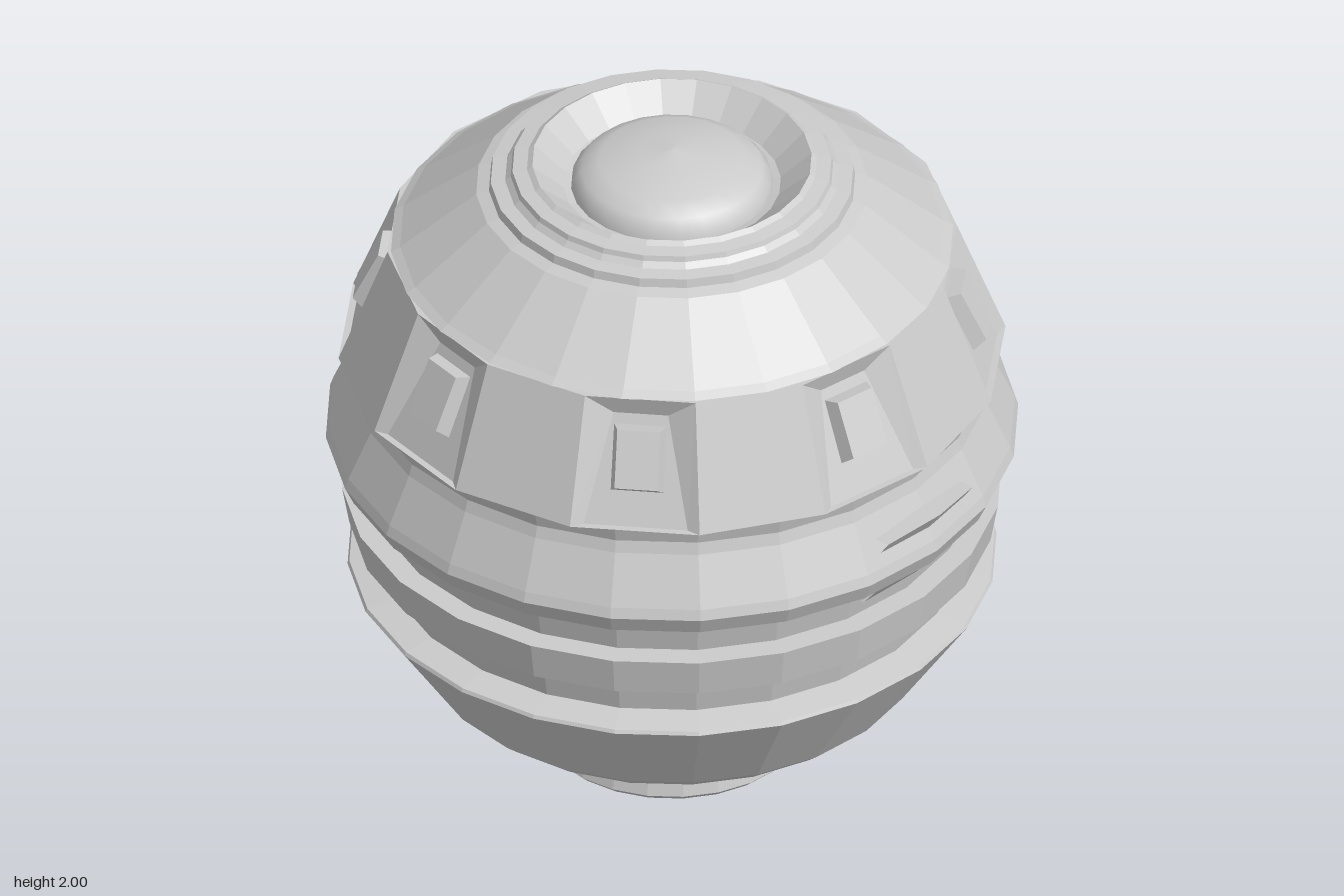
import * as THREE from 'three';

const grey = (flat = true, side = THREE.FrontSide) =>
  new THREE.MeshStandardMaterial({ color: 0xcccccc, flatShading: flat, side });

function add(group, name, geometry, material = grey()) {
  const mesh = new THREE.Mesh(geometry, material);
  mesh.name = name;
  group.add(mesh);
  return mesh;
}

// Profile of [radius, height] pairs, listed from the bottom up
function lathe(profile, segments) {
  return new THREE.LatheGeometry(profile.map(([r, y]) => new THREE.Vector2(r, y)), segments);
}

// Point at radius r, height y, angle a (degrees from the front towards +x)
function polar(r, y, a) {
  const t = THREE.MathUtils.degToRad(a);
  return [r * Math.sin(t), y, r * Math.cos(t)];
}

// Four-cornered faces, corners counter-clockwise from outside
function quads(list) {
  const pos = [];
  for (const [a, b, c, d] of list) pos.push(...a, ...b, ...c, ...a, ...c, ...d);
  const g = new THREE.BufferGeometry();
  g.setAttribute('position', new THREE.Float32BufferAttribute(pos, 3));
  g.computeVertexNormals();
  return g;
}

// Sixteen-sided collar: plain facets alternate with sunken, tapering pockets
function collarGeometry() {
  const faces = [];
  const step = 22.5, y0 = 1.35, y1 = 1.70, r0 = 0.92, r1 = 0.785;
  for (let k = 0; k < 16; k++) {
    const a0 = k * step, a1 = a0 + step;
    const A = polar(r0, y0, a0), B = polar(r0, y0, a1);
    const C = polar(r1, y1, a0), D = polar(r1, y1, a1);
    // underside and upper lip
    faces.push([polar(0.84, y0, a0), polar(0.84, y0, a1), B, A]);
    faces.push([C, D, polar(0.7, y1, a1), polar(0.7, y1, a0)]);
    if (k % 2 === 0) {
      faces.push([A, B, D, C]);
      continue;
    }
    const e = polar(0.895, y0, a0 + 2), f = polar(0.895, y0, a1 - 2);
    const g = polar(0.757, 1.64, a0 + 5.5), h = polar(0.757, 1.64, a1 - 5.5);
    faces.push([e, f, h, g], [A, e, g, C], [f, B, D, h], [g, h, D, C], [A, B, f, e]);
  }
  return quads(faces);
}

// Box whose outer face is smaller than its base
function buttonGeometry(w, h, d, taper) {
  const g = new THREE.BoxGeometry(w, h, d);
  const p = g.attributes.position;
  for (let i = 0; i < p.count; i++) {
    if (p.getZ(i) > 0) p.setXY(i, p.getX(i) * taper, p.getY(i) * (taper + 0.1));
  }
  g.computeVertexNormals();
  return g;
}

// Pointed front crest crossing the flange, lofted over three columns
function crestGeometry() {
  const middle = [[1.21, 0.85], [1.21, 0.965], [1.15, 0.925], [1.03, 0.92], [0.98, 0.88], [0.95, 0.8]];
  const columns = [-0.18, 0, 0.18].map((x) =>
    middle.map(([y, z]) => (x ? [x, y - 0.02, z - 0.035] : [x, y, z])));
  const faces = [];
  for (let c = 0; c < 2; c++) {
    for (let i = 0; i < middle.length - 1; i++) {
      const L = columns[c], R = columns[c + 1];
      faces.push([L[i + 1], R[i + 1], R[i], L[i]]);
    }
  }
  return quads(faces);
}

export function createModel() {
  const model = new THREE.Group();
  model.name = 'ribbedOrb';

  // Shallow pointed foot
  add(model, 'foot', lathe([[0, 0.005], [0.1, 0.01], [0.36, 0.065], [0.38, 0.085], [0.37, 0.13], [0.39, 0.145]], 24));

  // Lower bowl
  add(model, 'lowerBowl', lathe([
    [0.38, 0.13], [0.42, 0.17], [0.66, 0.325], [0.70, 0.36], [0.895, 0.655], [0.89, 0.665], [0.805, 0.68],
  ], 24));

  // Waist with a raised belt
  add(model, 'waist', lathe([
    [0.805, 0.675], [0.83, 0.795], [0.89, 0.795], [0.91, 0.91], [0.845, 0.91], [0.87, 1.025],
  ], 24));

  // Bulging flange above the waist
  add(model, 'flange', lathe([
    [0.86, 1.025], [0.93, 1.03], [0.955, 1.085], [0.945, 1.115], [0.88, 1.255], [0.87, 1.29], [0.885, 1.35],
  ], 24));

  // Collar and its eight buttons
  add(model, 'collar', collarGeometry(), grey(true, THREE.DoubleSide));
  const buttons = new THREE.Group();
  buttons.name = 'buttons';
  for (let i = 0; i < 8; i++) {
    const pivot = new THREE.Group();
    pivot.rotation.y = THREE.MathUtils.degToRad(33.75 + 45 * i);
    const button = add(pivot, 'button', buttonGeometry(0.165, 0.2, 0.07, 0.72));
    button.position.set(0, 1.53, 0.81);
    button.rotation.x = -0.44;
    buttons.add(pivot);
  }
  model.add(buttons);

  // Upper dome with stepped rings and a sunken bowl
  add(model, 'upperDome', lathe([
    [0.775, 1.70], [0.75, 1.715], [0.54, 1.88], [0.505, 1.89], [0.50, 1.915], [0.46, 1.92], [0.445, 1.935],
    [0.44, 1.95], [0.40, 1.955], [0.385, 1.965], [0.30, 1.89], [0.26, 1.88],
  ], 24));

  // Small cap in the middle of the bowl
  add(model, 'topCap', lathe([[0.28, 1.87], [0.275, 1.91], [0.25, 1.94], [0.20, 1.968], [0.1, 1.988], [0, 2]], 24), grey(false));

  add(model, 'frontCrest', crestGeometry(), grey(true, THREE.DoubleSide));

  return model;
}
